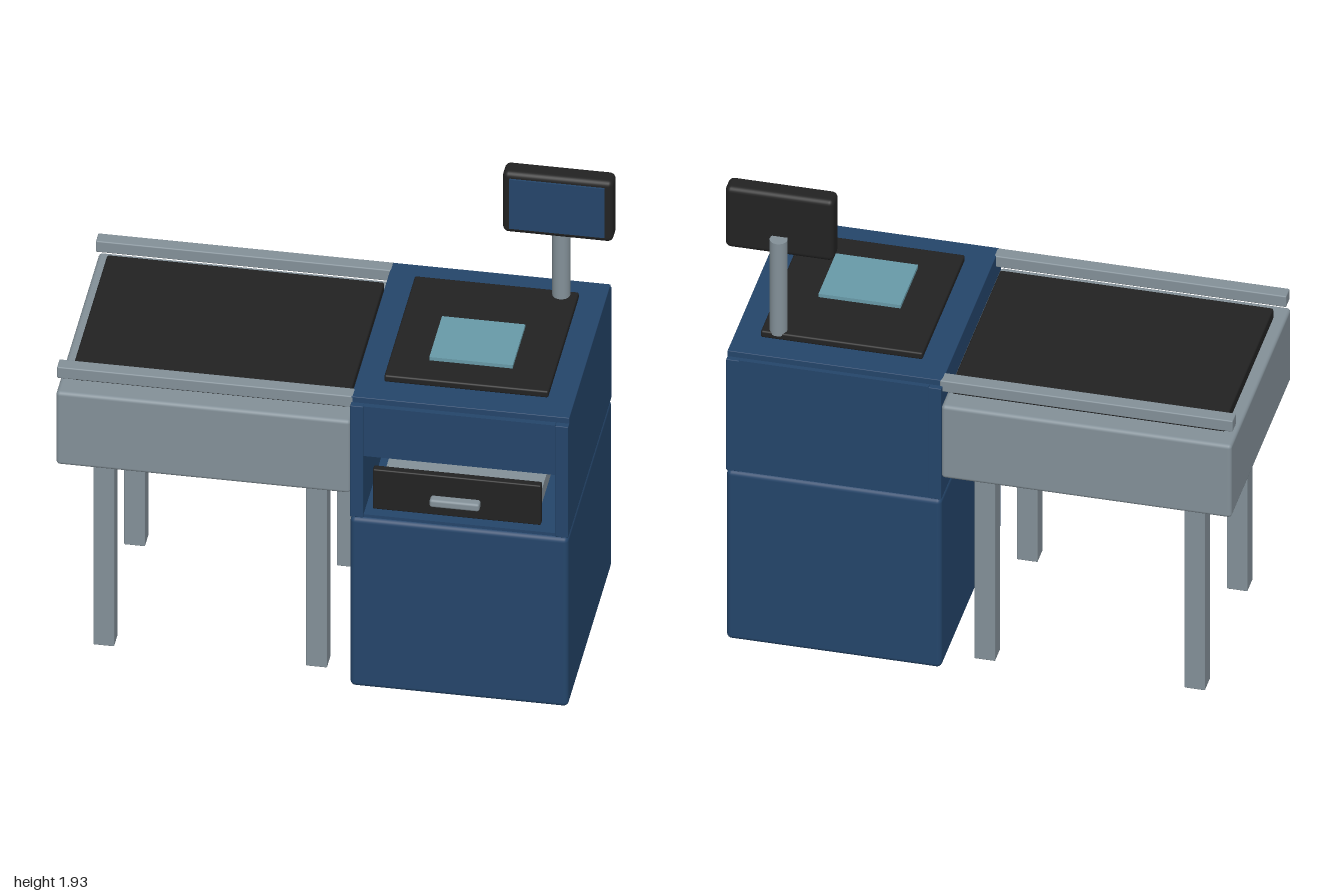
import * as THREE from 'three';
import { RoundedBoxGeometry } from 'three/addons/geometries/RoundedBoxGeometry.js';

const mat = (name, color) => {
  const m = new THREE.MeshStandardMaterial({ color });
  m.name = name;
  return m;
};

export function createModel() {
  const blue = mat('navy blue', 0x24456a);
  const grey = mat('steel grey', 0x839098);
  const black = mat('matte black', 0x222222);
  const teal = mat('scanner glass', 0x689aa8);

  const model = new THREE.Group();
  model.name = 'checkoutCounter';

  // Box between two corners on each axis, with rounded edges where r > 0
  const box = (name, material, [x0, x1], [y0, y1], [z0, z1], r = 0, parent = model) => {
    const size = [x1 - x0, y1 - y0, z1 - z0];
    const geometry = r > 0 ? new RoundedBoxGeometry(...size, 3, r) : new THREE.BoxGeometry(...size);
    const mesh = new THREE.Mesh(geometry, material);
    mesh.name = name;
    mesh.position.set((x0 + x1) / 2, (y0 + y1) / 2, (z0 + z1) / 2);
    parent.add(mesh);
    return mesh;
  };
  const group = (name) => {
    const g = new THREE.Group();
    g.name = name;
    model.add(g);
    return g;
  };
  const midZ = -0.055; // the counter is symmetric about this depth

  // Conveyor table
  const table = group('conveyorTable');
  box('tableBody', grey, [-1, 0.12], [0.87, 1.2], [-0.527, 0.417], 0.015, table);
  box('belt', black, [-0.955, 0.1], [1.2, 1.25], [-0.442, 0.327], 0.008, table);
  for (const s of [-1, 1]) {
    const railZ = midZ + s * 0.422;
    box('sideRail', grey, [-1, 0.13], [1.25, 1.3], [railZ - 0.028, railZ + 0.028], 0.005, table);
    for (const x of [-0.835, -0.025]) {
      const legZ = midZ + s * 0.335;
      box('leg', grey, [x - 0.04, x + 0.04], [0, 0.88], [legZ - 0.04, legZ + 0.04], 0.004, table);
    }
  }

  // Cabinet: rounded base, then an open housing for the drawer
  const cabinet = group('cabinet');
  box('cabinetBase', blue, [0.12, 0.95], [0, 0.768], [-0.527, 0.425], 0.02, cabinet);
  for (const x of [0.12, 0.9]) {
    box('sidePanel', blue, [x, x + 0.05], [0.77, 1.275], [-0.525, 0.42], 0.003, cabinet);
  }
  box('frontPanel', blue, [0.17, 0.9], [1.05, 1.275], [0.365, 0.417], 0, cabinet);
  box('backPanel', blue, [0.17, 0.9], [0.77, 1.275], [-0.522, -0.47], 0, cabinet);
  box('floorPanel', blue, [0.17, 0.9], [0.755, 0.78], [-0.48, 0.41], 0, cabinet);
  box('countertop', blue, [0.12, 0.95], [1.25, 1.3], [-0.503, 0.395], 0.003, cabinet);

  // Drawer, slightly open
  const drawer = group('drawer');
  box('drawerTray', grey, [0.235, 0.835], [0.855, 0.92], [-0.3, 0.442], 0, drawer);
  box('drawerFront', black, [0.215, 0.855], [0.85, 1.03], [0.438, 0.47], 0.006, drawer);
  box('drawerHandle', grey, [0.44, 0.63], [0.922, 0.956], [0.488, 0.528], 0.01, drawer);

  // Scanner plate
  const scanner = group('scanner');
  box('scannerPlate', black, [0.225, 0.85], [1.3, 1.33], [-0.39, 0.28], 0.008, scanner);
  box('scannerGlass', teal, [0.375, 0.692], [1.33, 1.345], [-0.122, 0.152], 0, scanner);

  // Display on a pole
  const display = group('display');
  const pole = new THREE.Mesh(new THREE.CylinderGeometry(0.034, 0.034, 0.42, 32), grey);
  pole.name = 'displayPole';
  pole.position.set(0.787, 1.53, -0.362);
  display.add(pole);
  box('displayCase', black, [0.58, 1], [1.655, 1.93], [-0.345, -0.26], 0.022, display);
  box('displayScreen', blue, [0.608, 0.97], [1.682, 1.905], [-0.261, -0.252], 0, display);

  return model;
}
